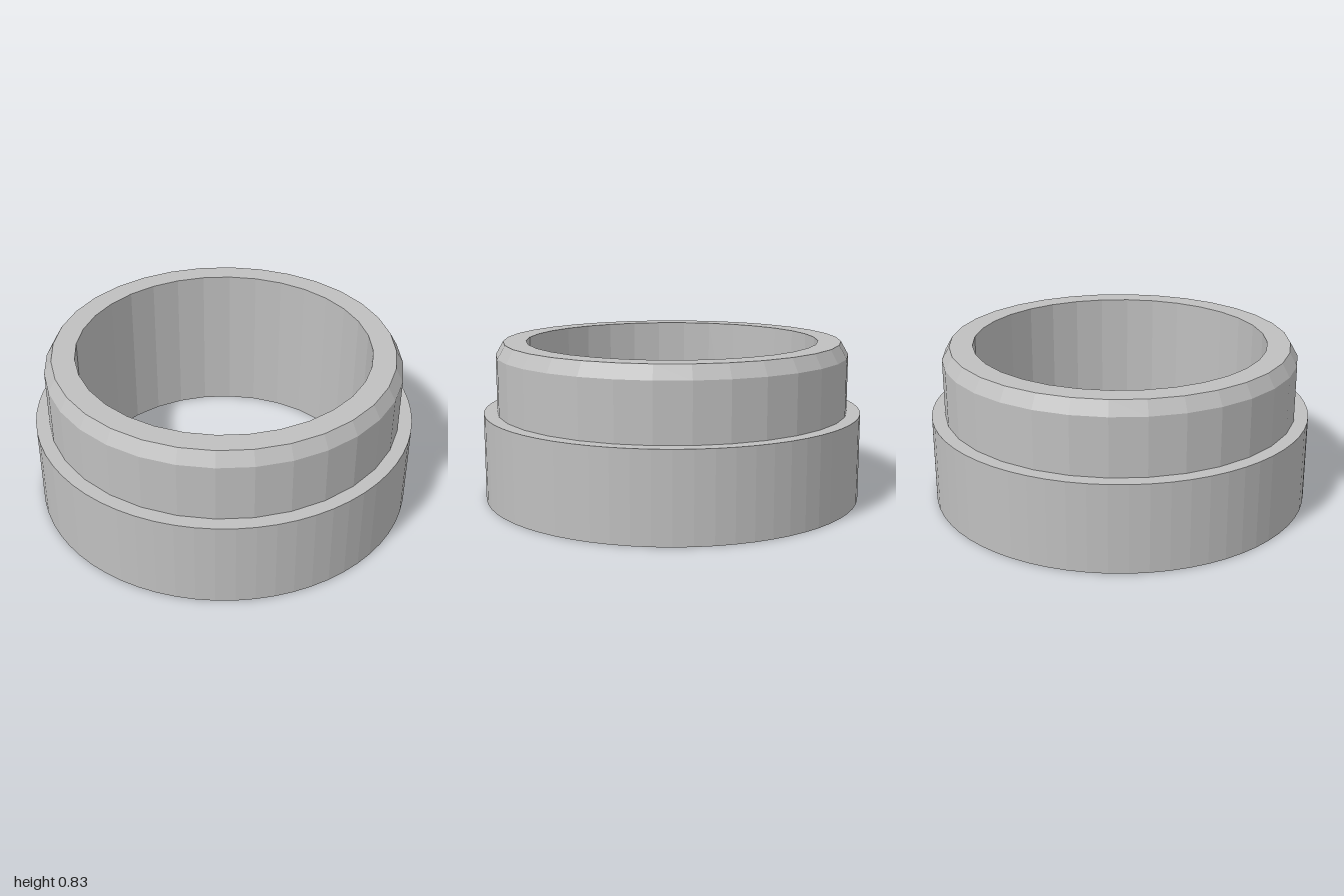
import * as THREE from 'three';

const BORE = 0.77, SEAM = 0.886, BOLT_CIRCLE = 0.825;
const HOLE = 0.04, PIN = 0.023;

export function createModel() {
  const model = new THREE.Group();
  const steel = new THREE.MeshStandardMaterial({ color: 0xbfbfbf });
  steel.name = 'steelGrey';

  const add = (name, geometry, parent = model) => {
    const mesh = new THREE.Mesh(geometry, steel);
    mesh.name = name;
    parent.add(mesh);
    return mesh;
  };

  // Faceted turned part from [radius, height] pairs
  const turned = (points, segments) => {
    const g = new THREE.LatheGeometry(points.map(p => new THREE.Vector2(...p)), segments).toNonIndexed();
    g.computeVertexNormals();
    return g;
  };

  // Wide lower collar
  add('lowerCollar', turned([[0.88, 0], [1, 0], [1, 0.46], [0.88, 0.46]], 64));

  // Narrower upper ring with chamfered rim and open bore
  add('upperRing', turned([[0.93, 0.44], [0.93, 0.76], [0.89, 0.83], [BORE, 0.83], [BORE, 0]], 32));

  // Underside ring, pierced for screws and dowels
  const face = new THREE.Shape();
  face.absarc(0, 0, SEAM, 0, Math.PI * 2);
  const pierce = (x, y, r) => {
    const hole = new THREE.Path();
    hole.absarc(x, y, r, 0, Math.PI * 2, true);
    face.holes.push(hole);
  };
  pierce(0, 0, BORE);

  const place = (degrees, radius) => {
    const a = THREE.MathUtils.degToRad(degrees);
    const x = BOLT_CIRCLE * Math.cos(a), z = BOLT_CIRCLE * Math.sin(a);
    pierce(x, z, radius);
    const group = new THREE.Group();
    group.position.set(x, 0, z);
    model.add(group);
    return group;
  };

  // Twelve countersunk screws with hexagonal sockets
  const head = turned([[0.012, 0.025], [0.03, 0.025], [HOLE, 0]], 32);
  const socket = turned([[0, 0.05], [0.014, 0.05], [0.014, 0.025]], 6);
  for (let i = 0; i < 12; i++) {
    const screw = place(i * 30, HOLE);
    screw.name = 'screw';
    add('screwHead', head, screw);
    add('screwSocket', socket, screw);
  }

  // Two opposite dowel holes
  const dowel = turned([[0, 0.12], [PIN, 0.12], [PIN, 0]], 32);
  for (const degrees of [15, 195]) {
    const group = place(degrees, PIN);
    group.name = 'dowelHole';
    add('dowelHoleWall', dowel, group);
  }

  add('undersideRing', new THREE.ShapeGeometry(face, 32).rotateX(Math.PI / 2));
  return model;
}
